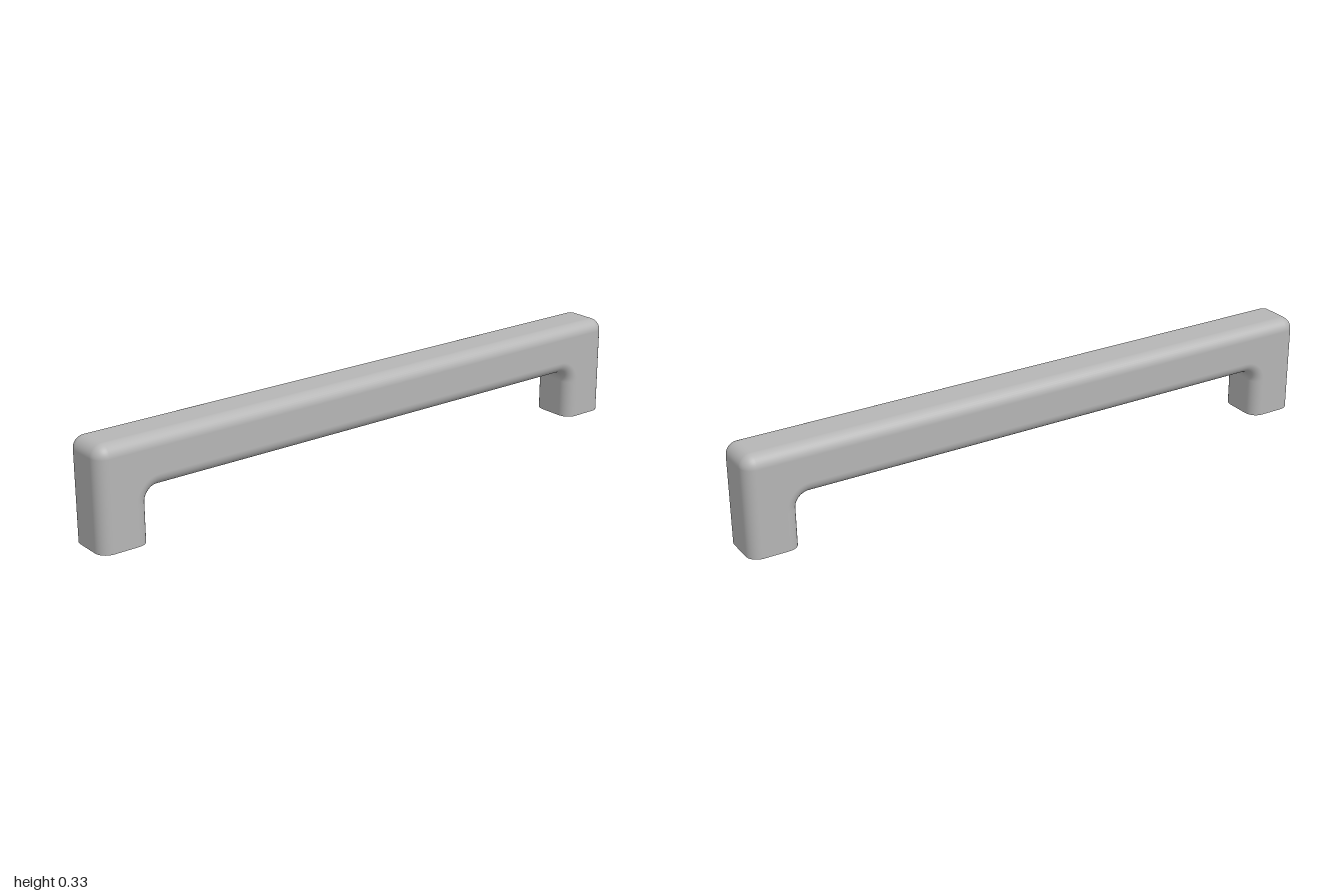
import * as THREE from 'three';
import { toCreasedNormals } from 'three/addons/utils/BufferGeometryUtils.js';

const HALF = 0.081;          // half thickness of the square section
const ROUND = 0.04;          // edge rounding, also outer and inner corner radius
const LEG_X = 1 - HALF;      // centre line of the legs
const BAR_Y = 0.327 - HALF;  // centre line of the bar
const CORE = HALF - ROUND;
const STEPS = 10;

// Rounded square section: u points to the outside of the handle, z to the front
function sectionPoints() {
  const points = [];
  for (let corner = 0; corner < 4; corner++) {
    const mid = (corner + 0.5) * Math.PI / 2;
    for (let i = 0; i <= STEPS; i++) {
      const a = (corner + i / STEPS) * Math.PI / 2;
      const nu = Math.cos(a), nz = Math.sin(a);
      points.push({
        u: Math.sign(Math.cos(mid)) * CORE + ROUND * nu,
        z: Math.sign(Math.sin(mid)) * CORE + ROUND * nz,
        nu, nz,
      });
    }
  }
  return points;
}

// Sweep up one leg, along the bar and down the other leg
function handleGeometry(section) {
  const stations = [{ side: 1, a: 0, foot: true }];
  for (const side of [1, -1]) {
    for (let i = 0; i <= STEPS; i++) {
      const a = (i / STEPS) * Math.PI / 2 + (side < 0 ? Math.PI / 2 : 0);
      stations.push({ side, a });
    }
  }
  stations.push({ side: -1, a: Math.PI, foot: true });

  const position = [], normal = [], index = [];
  const n = section.length;
  stations.forEach(({ side, a, foot }, s) => {
    const c = Math.cos(a), d = Math.sin(a);
    section.forEach((p, k) => {
      // outer edges turn about the outer corner, inner edges about the fillet
      const shift = p.u > 0 ? CORE : -HALF - ROUND;
      const r = p.u - shift;
      position.push(side * (LEG_X + shift) + r * c, foot ? 0 : BAR_Y + shift + r * d, p.z);
      normal.push(p.nu * c, p.nu * d, p.nz);
      if (s < stations.length - 1) {
        const i0 = s * n + k, i1 = s * n + (k + 1) % n;
        index.push(i0, i0 + n, i1, i1, i0 + n, i1 + n);
      }
    });
  });
  const g = new THREE.BufferGeometry();
  g.setAttribute('position', new THREE.Float32BufferAttribute(position, 3));
  g.setAttribute('normal', new THREE.Float32BufferAttribute(normal, 3));
  g.setIndex(index);
  return g;
}

export function createModel() {
  const group = new THREE.Group();
  group.name = 'pullHandle';
  const metal = new THREE.MeshStandardMaterial({ color: 0xb5b5b5 });
  metal.name = 'greyMetal';

  const add = (name, geometry, x = 0, y = 0, z = 0) => {
    const mesh = new THREE.Mesh(geometry, metal);
    mesh.name = name;
    mesh.position.set(x, y, z);
    group.add(mesh);
  };

  const section = sectionPoints();
  add('handleBody', handleGeometry(section));

  // Flat feet, each with two blind screw holes
  const holeR = 0.014, holeX = 0.046, depth = 0.1;
  const foot = new THREE.Shape(section.map(p => new THREE.Vector2(p.u, p.z)));
  for (const s of [-1, 1]) {
    foot.holes.push(new THREE.Path().absarc(s * holeX, 0, holeR, 0, Math.PI * 2, true));
  }
  const footGeometry = new THREE.ShapeGeometry(foot, 12).rotateX(Math.PI / 2);
  const bore = toCreasedNormals(new THREE.LatheGeometry([
    new THREE.Vector2(0, depth),
    new THREE.Vector2(holeR, depth),
    new THREE.Vector2(holeR, 0),
  ], 24), 0.8);

  for (const [side, label] of [[1, 'left'], [-1, 'right']]) {
    add(label + 'Foot', footGeometry, side * LEG_X);
    for (const s of [-1, 1]) add(label + 'ScrewHole', bore, side * LEG_X + s * holeX);
  }
  return group;
}
